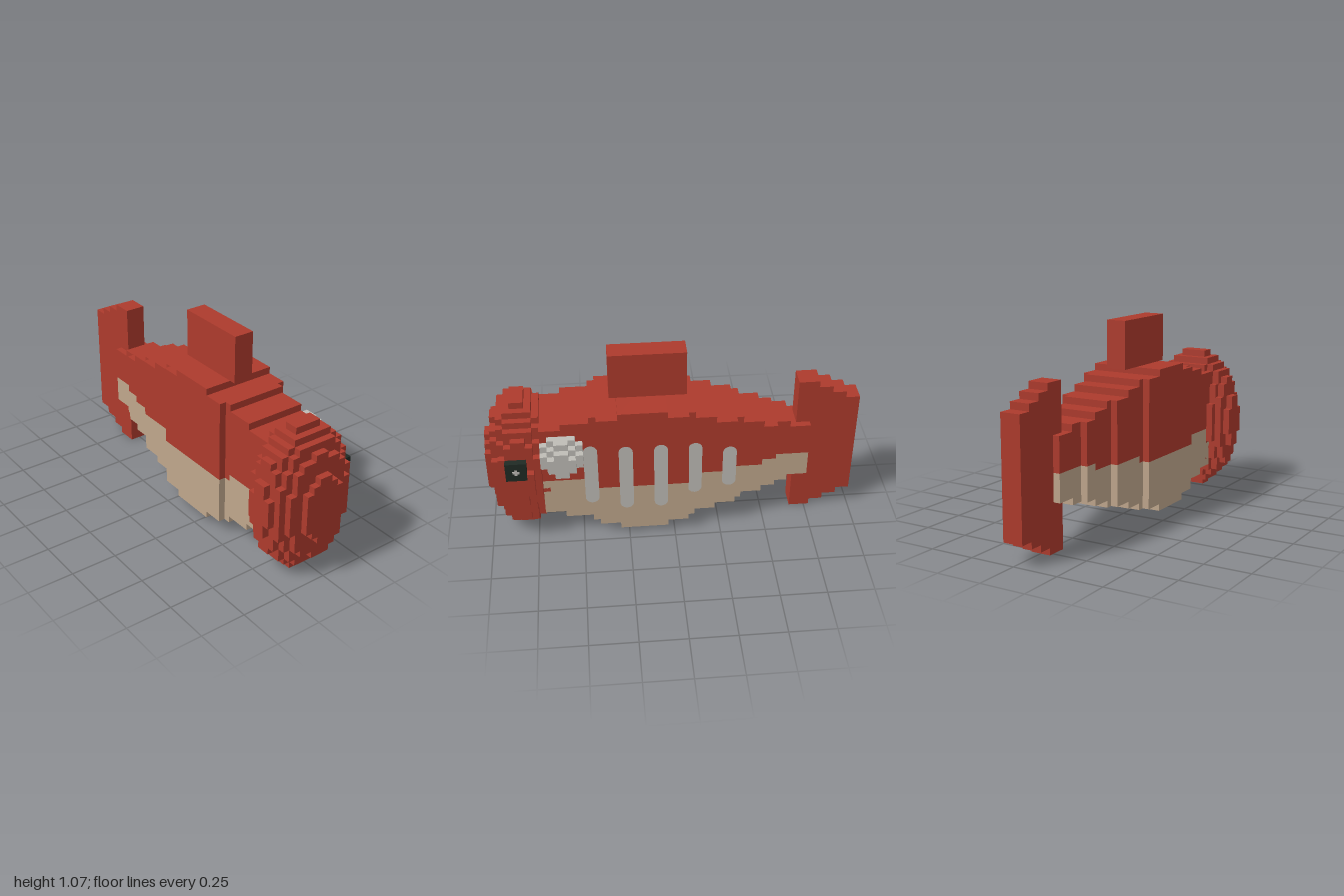
import * as THREE from 'three';
import { mergeGeometries } from 'three/addons/utils/BufferGeometryUtils.js';

// All sizes are in blocks; the whole group is scaled so 27 blocks make one unit.
const BLOCK = 1 / 27;

const material = (name, color) => {
  const m = new THREE.MeshStandardMaterial({ color });
  m.name = name;
  return m;
};

function box(x0, x1, y0, y1, z0, z1) {
  return new THREE.BoxGeometry(x1 - x0, y1 - y0, z1 - z0)
    .translate((x0 + x1) / 2, (y0 + y1) / 2, (z0 + z1) / 2);
}

// Outer faces of every unit block whose centre passes the inside test
function blockSolid([x0, x1], [y0, y1], [z0, z1], inside) {
  const sides = [];
  const addSide = (axis, angle, dir) => {
    const m = new THREE.Matrix4().makeRotationAxis(axis, angle);
    const offset = new THREE.Vector3(...dir).multiplyScalar(0.5);
    const g = new THREE.PlaneGeometry(1, 1).applyMatrix4(m).translate(offset.x, offset.y, offset.z);
    sides.push({ dir, g });
  };
  const X = new THREE.Vector3(1, 0, 0), Y = new THREE.Vector3(0, 1, 0);
  addSide(Y, 0, [0, 0, 1]);
  addSide(Y, Math.PI, [0, 0, -1]);
  addSide(Y, Math.PI / 2, [1, 0, 0]);
  addSide(Y, -Math.PI / 2, [-1, 0, 0]);
  addSide(X, -Math.PI / 2, [0, 1, 0]);
  addSide(X, Math.PI / 2, [0, -1, 0]);

  const faces = [];
  for (let x = x0 + 0.5; x < x1; x++)
    for (let y = y0 + 0.5; y < y1; y++)
      for (let z = z0 + 0.5; z < z1; z++) {
        if (!inside(x, y, z)) continue;
        for (const { dir, g } of sides)
          if (!inside(x + dir[0], y + dir[1], z + dir[2])) faces.push(g.clone().translate(x, y, z));
      }
  return mergeGeometries(faces);
}

// Upright stripe with rounded ends, facing -z
function stripe(xMid, y0, y1, z) {
  const s = new THREE.Shape();
  s.moveTo(-1, y0 + 1);
  s.absarc(0, y0 + 1, 1, Math.PI, 2 * Math.PI);
  s.absarc(0, y1 - 1, 1, 0, Math.PI);
  return new THREE.ShapeGeometry(s, 6).rotateY(Math.PI).translate(xMid, 0, z);
}

export function createModel() {
  const red = material('red', 0xad3a2c);
  const tan = material('tan', 0xbfa68c);
  const grey = material('grey', 0xbfbcb6);
  const black = material('black', 0x1f2a24);

  const model = new THREE.Group();
  model.name = 'blockFish';
  const fish = new THREE.Group();
  fish.name = 'fish';
  fish.scale.setScalar(BLOCK);
  fish.position.x = -1;
  model.add(fish);
  const add = (name, geometry, mat) => {
    const mesh = new THREE.Mesh(geometry, mat);
    mesh.name = name;
    fish.add(mesh);
  };

  // Body slices: start x, end x, bottom, half width, colour line
  const slices = [
    [7, 10, 7, 2.5, 11], [10, 12, 6, 2.5, 11], [12, 14, 6, 3.5, 11],
    [14, 17, 5, 3.5, 10], [17, 18, 4, 3.5, 10], [18, 21, 4, 4.5, 10],
    [21, 24, 3, 4.5, 10], [24, 25, 2, 4.5, 9], [25, 28, 2, 5.5, 9],
    [28, 35, 1, 5.5, 9], [35, 38, 2, 5.5, 9], [38, 39, 2, 4.5, 9],
    [39, 43, 3, 4.5, 10], [43, 46, 4, 4.5, 10],
  ];
  add('back', mergeGeometries(slices.map(([a, b, low, w, line]) => box(a, b, line, 23 - low, -w, w))), red);
  add('belly', mergeGeometries(slices.map(([a, b, low, w, line]) => box(a, b, low, line, -w, w))), tan);

  // Stepped tail fin and plain dorsal fin
  const tail = [[0, 2, 3], [2, 4, 2], [4, 6, 1], [6, 9, 0]];
  add('tailFin', mergeGeometries(tail.map(([a, b, low]) => box(a, b, low, 23 - low, -1.5, 1.5))), red);
  add('dorsalFin', box(25, 36, 22, 29, -1.5, 1.5), red);

  // Head: ellipsoid of blocks with a notch for the eye
  const inEye = (x, y, z) => x > 48 && x < 51 && y > 12 && y < 15 && z < -5.5;
  add('head', blockSolid([44, 54], [0, 22], [-6.5, 7.5], (x, y, z) =>
    ((x - 49) / 5) ** 2 + ((y - 11) / 11) ** 2 + ((z - 0.5) / 7) ** 2 <= 1 && !inEye(x, y, z)), red);

  // Eye with a small cross-shaped glint
  add('eye', box(48, 51, 12, 15, -6.5, -5.5), black);
  add('eyeGlint', mergeGeometries([
    box(49, 50, 13.3, 13.7, -6.55, -6.5),
    box(49.3, 49.7, 13, 14, -6.55, -6.5),
  ]), grey);

  // Round side fin made of blocks
  add('sideFin', blockSolid([40, 46], [12, 18], [-7.5, -4.5], (x, y, z) =>
    Math.hypot(x - 43, y - 15, z + 4.5) <= 3), grey);

  // Stripes on one flank: middle x, bottom, top, body half width
  const stripes = [
    [39, 5.5, 16, 4.5], [34, 5, 16.4, 5.5], [29, 5, 16.4, 5.5],
    [24, 6.4, 15.6, 4.5], [19, 7.4, 14.6, 4.5],
  ];
  add('stripes', mergeGeometries(stripes.map(([x, y0, y1, w]) => stripe(x, y0, y1, -w - 0.08))), grey);

  return model;
}
